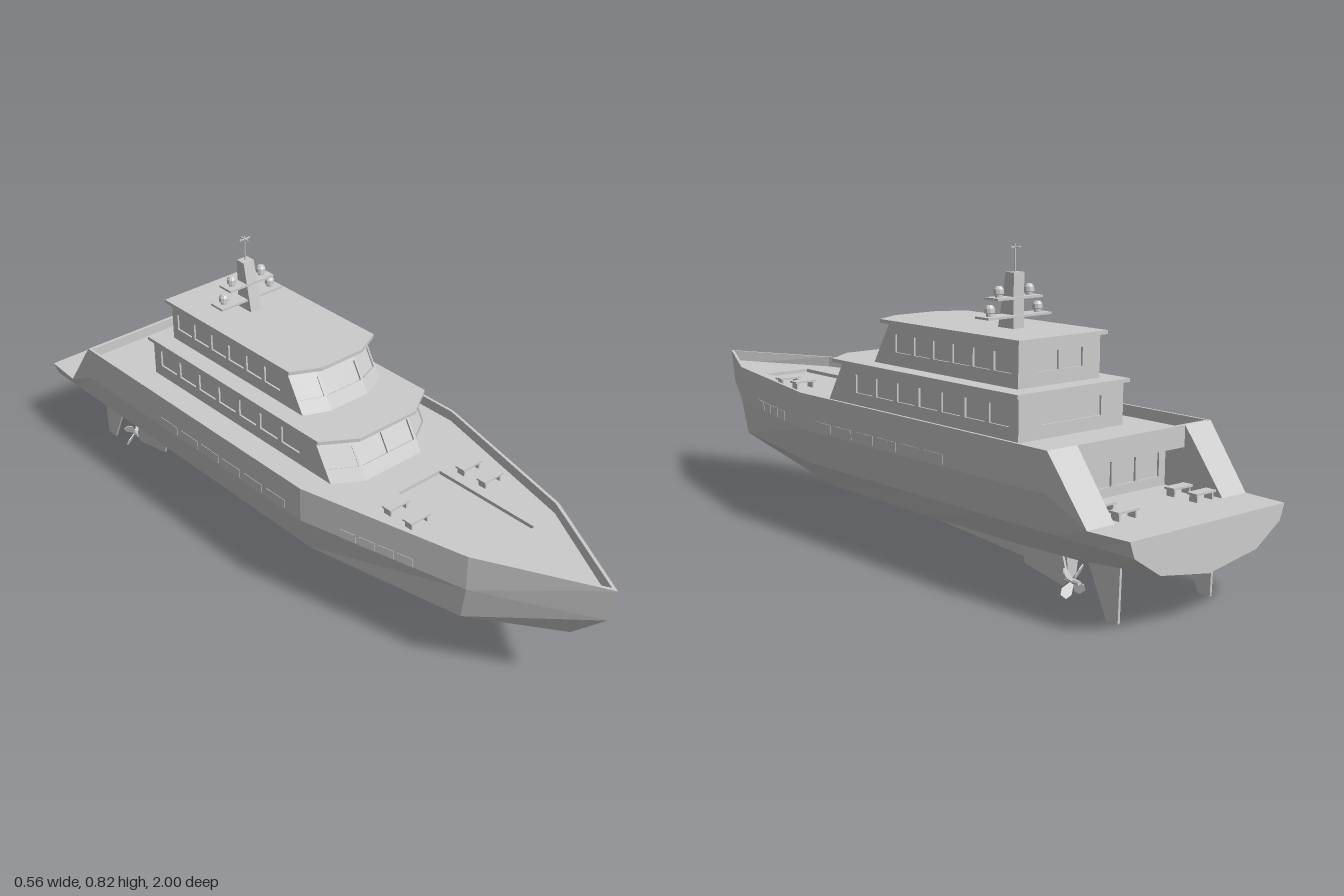
import * as THREE from 'three';
import { ConvexGeometry } from 'three/addons/geometries/ConvexGeometry.js';

const grey = new THREE.MeshStandardMaterial({ color: 0xcccccc, flatShading: true, side: THREE.DoubleSide });
const V = (x, y, z) => new THREE.Vector3(x, y, z);

export function createModel() {
  const model = new THREE.Group();

  const add = (name, geo, x = 0, y = 0, z = 0, parent = model) => {
    const m = new THREE.Mesh(geo, grey);
    m.name = name;
    m.position.set(x, y, z);
    parent.add(m);
    return m;
  };
  const group = (name, parent = model) => {
    const g = new THREE.Group();
    g.name = name;
    parent.add(g);
    return g;
  };
  const box = (name, w, h, d, x, y, z, parent) => add(name, new THREE.BoxGeometry(w, h, d), x, y, z, parent);
  const poly = pts => new THREE.Shape(pts.map(p => new THREE.Vector2(p[0], p[1])));

  // Horizontal slab from a half outline of [x, z], stern to bow
  const slab = (name, half, y0, y1, hole) => {
    const full = [...half, ...half.slice().reverse().map(([x, z]) => [-x, z])];
    const s = poly(full.map(([x, z]) => [x, -z]));
    if (hole) s.holes.push(poly(hole.map(([x, z]) => [x, -z])));
    const g = new THREE.ExtrudeGeometry(s, { depth: y1 - y0, bevelEnabled: false });
    return add(name, g.rotateX(-Math.PI / 2), 0, y0, 0);
  };
  // Upright plate from a [z, y] side outline
  const sidePlate = (name, pts, thick, x) => {
    const g = new THREE.ExtrudeGeometry(poly(pts.map(([z, y]) => [-z, y])), { depth: thick, bevelEnabled: false });
    return add(name, g.translate(0, 0, -thick / 2).rotateY(Math.PI / 2), x, 0, 0);
  };

  // Hull: half sections from inner bulwark over the rail and down to the keel
  const body = (z, bilgeY, keelY) => [[.272, .36, z], [.272, .4, z], [.28, .4, z], [.28, .3, z], [.25, .2, z], [.18, bilgeY, z], [0, keelY, z]];
  const wing = body(-.76, .13, .092);
  wing[0] = [.185, .23, -.76];
  wing[1] = [.185, .4, -.76];
  const stern = [[.265, .24], [.265, .24], [.25, .2], [.165, .146], [0, .12]];
  const stations = [
    [[0, .36, .972], [0, .4, .982], [0, .4, 1], [0, .3, .98], [0, .2, .88], [0, .155, .75], [0, .113, .55]],
    [[.157, .36, .676], [.157, .4, .676], [.165, .4, .68], [.165, .3, .68], [.157, .2, .66], [.105, .153, .6], [0, .112, .55]],
    body(.2, .127, .07),
    body(-.2, .123, .068),
    body(-.57, .125, .078),
    body(-.76, .13, .092),
    wing,
    [[.185, .23, -.88], [.185, .24, -.88], [.273, .24, -.88], [.273, .24, -.88], [.25, .2, -.88], [.172, .138, -.88], [0, .106, -.88]],
    [[.185, .23, -1], [.185, .24, -1], ...stern.map(([x, y]) => [x, y, -1])],
  ].map(h => [...h, ...h.slice(0, -1).reverse().map(([x, y, z]) => [-x, y, z])]);
  const pos = [];
  for (let i = 0; i < stations.length - 1; i++) {
    for (let j = 0; j < 12; j++) {
      const a = stations[i][j], b = stations[i][j + 1], c = stations[i + 1][j], d = stations[i + 1][j + 1];
      pos.push(...a, ...b, ...c, ...b, ...d, ...c);
    }
  }
  const hull = new THREE.BufferGeometry();
  hull.setAttribute('position', new THREE.Float32BufferAttribute(pos, 3));
  hull.computeVertexNormals();
  add('hull', hull);
  const transom = [...stern, ...stern.slice(0, -1).reverse().map(([x, y]) => [-x, y])];
  add('transom', new THREE.ShapeGeometry(poly(transom)), 0, 0, -1);

  // Main deck with sunken foredeck well
  slab('mainDeck', [[.272, -.76], [.272, .2], [.157, .676], [0, .975]], .345, .37,
    [[-.075, .35], [.075, .35], [.075, .68], [-.075, .68]]);
  box('foredeckWellFloor', .16, .01, .34, 0, .355, .515);
  box('aftBulwark', .545, .055, .01, 0, .372, -.755);

  // Panel with recessed windows; corners seen from outside, windows as [s0, s1, t0, t1]
  const panel = (name, bl, br, tl, tr, windows, parent, sheared = true) => {
    const u = br.clone().sub(bl), L = u.length();
    u.normalize();
    const n = u.clone().cross(tl.clone().sub(bl)).normalize();
    const v = n.clone().cross(u);
    const flat = p => [p.clone().sub(bl).dot(u), p.clone().sub(bl).dot(v)];
    const [shear, H] = flat(tl);
    const outline = [bl, br, tr, tl].map(flat);
    const s = poly(outline);
    for (const [s0, s1, t0, t1] of windows) {
      s.holes.push(poly([[s0, t0], [s0, t1], [s1, t1], [s1, t0]]
        .map(([a, t]) => [a * L + (sheared ? t * shear : 0), t * H])));
    }
    const m = new THREE.Matrix4().makeBasis(u, v, n).setPosition(bl);
    const wall = new THREE.ExtrudeGeometry(s, { depth: .006, bevelEnabled: false }).translate(0, 0, -.006);
    add(name, wall.applyMatrix4(m), 0, 0, 0, parent);
    const pane = new THREE.ShapeGeometry(poly(outline)).translate(0, 0, -.0055);
    add(name + 'Glass', pane.applyMatrix4(m), 0, 0, 0, parent);
  };
  const row = (n, s0, s1, t0, t1, gap = .012) => Array.from({ length: n }, (_, i) => {
    const w = (s1 - s0) / n;
    return [s0 + i * w + gap / 2, s0 + (i + 1) * w - gap / 2, t0, t1];
  });

  // Deckhouse with raked three-sided front
  const house = (name, { w, xf, y0, y1, back, zc, zf, rake, t, front, side, aft }) => {
    const g = group(name);
    const lo = (x, z) => V(x, y0, z), hi = (x, z) => V(x, y1, z);
    panel('frontWall', lo(-xf, zf), lo(xf, zf), hi(-xf, zf - rake), hi(xf, zf - rake), row(front, .02, .98, ...t, .03), g);
    panel('backWall', lo(w, back), lo(-w, back), hi(w, back), hi(-w, back), row(aft, .2, .8, ...t, .04), g);
    for (const k of [1, -1]) {
      const half = group(k > 0 ? 'leftWalls' : 'rightWalls', g);
      half.scale.x = k;
      panel('cornerWall', lo(xf, zf), lo(w, zc), hi(xf, zf - rake), hi(w, zc - rake), [[.06, .94, ...t]], half);
      panel('sideWall', lo(w, zc), lo(w, back), hi(w, zc - rake), hi(w, back), row(side, .15, .97, ...t, .022), half, false);
    }
  };
  house('lowerHouse', { w: .18, xf: .1, y0: .37, y1: .481, back: -.56, zc: .205, zf: .255, rake: .065, t: [.31, .76], front: 2, side: 7, aft: 1 });
  slab('lowerRoof', [[.193, -.57], [.193, .17], [.1, .23]], .479, .489);
  house('upperHouse', { w: .14, xf: .065, y0: .489, y1: .601, back: -.515, zc: .05, zf: .08, rake: .065, t: [.32, .75], front: 1, side: 6, aft: 2 });
  slab('upperRoof', [[.152, -.53], [.152, .01], [.07, .05]], .6, .61);

  // Aft cockpit under the main deck
  box('swimPlatform', .38, .02, .32, 0, .23, -.84);
  panel('cockpitWall', V(.2, .235, -.7), V(-.2, .235, -.7), V(.2, .35, -.7), V(-.2, .35, -.7), row(4, .08, .92, .25, .8, .03), model);
  for (const k of [-1, 1]) box('cockpitSide', .05, .12, .06, k * .21, .295, -.73);

  // Benches on foredeck and cockpit
  const bench = (x, y, z) => {
    const g = group('bench');
    box('benchTop', .07, .005, .03, x, y + .02, z, g);
    for (const i of [-1, 1]) box('benchLeg', .005, .02, .024, x + i * .027, y + .01, z, g);
  };
  for (const k of [-1, 1]) {
    bench(k * .133, .37, .4);
    bench(k * .133, .37, .475);
    bench(k * .133, .24, -.79);
    bench(k * .133, .24, -.86);
  }

  // Hull windows: a long midship row and a short one towards the bow
  for (const k of [-1, 1]) {
    for (let i = 0; i < 6; i++) box('hullWindow', .003, .025, .075, k * .28, .318, .1 - i * .093);
    for (let i = 0; i < 4; i++) {
      const f = .3 + i * .115;
      const m = box('bowWindow', .003, .025, .047, k * (.28 - .115 * f), .313, .2 + .48 * f);
      m.rotation.y = k * Math.atan2(-.115, .48);
    }
  }

  // Mast with crossarms, domes and aerial
  const mast = group('mast');
  const mastPts = [];
  for (const x of [-.018, .018]) for (const [z, y] of [[-.308, .61], [-.365, .61], [-.335, .752], [-.365, .752]]) mastPts.push(V(x, y, z));
  add('mastPost', new ConvexGeometry(mastPts), 0, 0, 0, mast);
  const domeProfile = [[0, 0], [.009, 0], [.009, .007], [.014, .009], [.013, .021], [.008, .028], [0, .029]].map(p => new THREE.Vector2(...p));
  for (const [y, half, xd] of [[.642, .108, .082], [.688, .077, .052]]) {
    box('crossarm', half * 2, .006, .05, 0, y, -.347, mast);
    for (const k of [-1, 1]) add('radarDome', new THREE.LatheGeometry(domeProfile, 10), k * xd, y + .003, -.347, mast);
  }
  add('aerial', new THREE.CylinderGeometry(.002, .002, .075, 6), 0, .786, -.35, mast);
  box('aerialBar', .036, .003, .004, 0, .815, -.35, mast);
  box('aerialCrossBar', .004, .003, .03, 0, .815, -.35, mast);

  // Centre skeg widening aft
  const skeg = [V(0, .069, .22), V(0, .09, .2), V(0, .005, -.57)];
  for (const k of [-1, 1]) skeg.push(V(k * .023, .09, -.57), V(k * .022, .07, -.57), V(k * .014, .015, -.57));
  add('skeg', new ConvexGeometry(skeg));

  // Shaft fins, propellers and rudders
  const bladeShape = poly([[-.005, .006], [-.014, .03], [-.008, .045], [.008, .045], [.014, .03], [.005, .006]]);
  for (const k of [-1, 1]) {
    const x = k * .16;
    sidePlate('shaftFin', [[-.55, .14], [-.57, .075], [-.7, .05], [-.715, .065], [-.69, .145]], .006, x);
    sidePlate('rudder', [[-.77, .15], [-.88, .15], [-.876, .002], [-.84, .002]], .007, x);
    const prop = group('propeller');
    prop.position.set(x, .068, -.73);
    add('propellerHub', new THREE.CylinderGeometry(.008, .006, .04, 8).rotateX(Math.PI / 2), 0, 0, 0, prop);
    for (let i = 0; i < 4; i++) {
      const g = new THREE.ExtrudeGeometry(bladeShape, { depth: .003, bevelEnabled: false });
      g.translate(0, 0, -.0015).rotateY(k * .6).rotateZ(Math.PI / 4 + i * Math.PI / 2);
      add('propellerBlade', g, 0, 0, 0, prop);
    }
  }
  return model;
}
